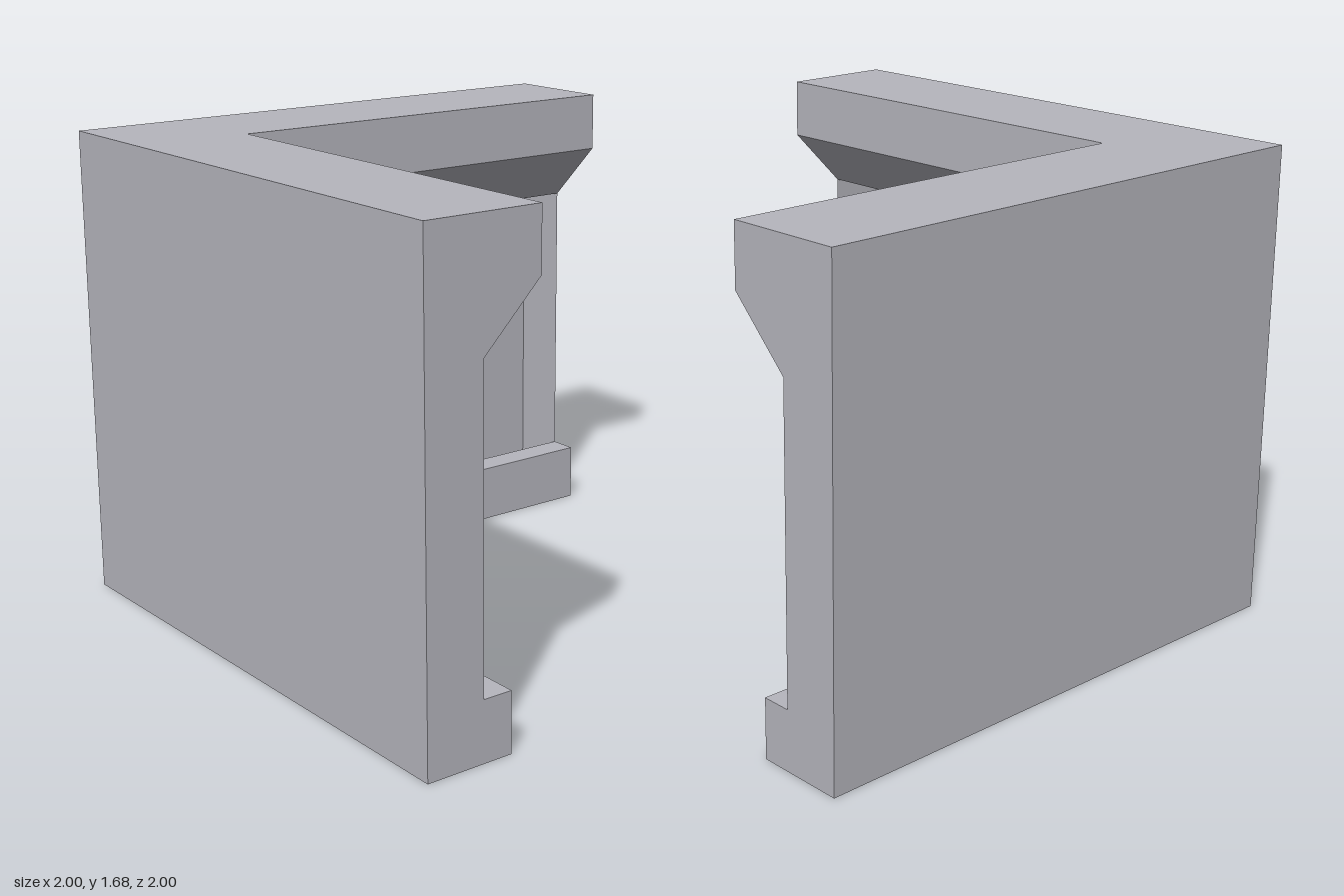
import * as THREE from 'three';

// All sizes sit on a regular grid of 1/19 unit.
const U = 1 / 19;
const H = 32 * U;       // wall height
const THICK = 4 * U;    // edge of the recess
const LEDGE = 6 * U;    // depth of the foot ledge
const CAP = 8 * U;      // depth of the top rail

const stone = new THREE.MeshStandardMaterial({ color: 0xb6b6be, side: THREE.DoubleSide });
stone.name = 'paleGreyStone';

function add(group, name, geometry) {
  const mesh = new THREE.Mesh(geometry, stone);
  mesh.name = name;
  group.add(mesh);
  return mesh;
}

function flat(points) {
  return new THREE.ShapeGeometry(new THREE.Shape(points.map(([x, y]) => new THREE.Vector2(x, y))));
}

// Sweeps a (depth, height) profile along the inside of the L, with a chamfered corner.
function innerSweep(profile) {
  const stations = [
    (t) => [1, 1 - t],
    (t) => [-1 + CAP, 1 - t],
    (t) => [-1 + t, 1 - CAP],
    (t) => [-1 + t, -1],
  ];
  const at = (s, [t, y]) => {
    const [x, z] = stations[s](t);
    return [x, y, z];
  };
  const pos = [];
  for (let s = 0; s < stations.length - 1; s++) {
    for (let p = 0; p < profile.length - 1; p++) {
      // at the corner the rail closes to a point, leaving a single triangle
      const closed = (q) => s === 1 && q[0] === CAP;
      const a = at(s, profile[p]), b = at(s, profile[p + 1]);
      const c = at(s + 1, profile[p + 1]), d = at(s + 1, profile[p]);
      if (!closed(profile[p + 1])) pos.push(...a, ...b, ...c);
      if (!closed(profile[p])) pos.push(...a, ...c, ...d);
    }
  }
  const g = new THREE.BufferGeometry();
  g.setAttribute('position', new THREE.Float32BufferAttribute(pos, 3));
  g.computeVertexNormals();
  return g;
}

export function createModel() {
  const model = new THREE.Group();
  model.name = 'cornerWall';

  // Outer wall panels
  add(model, 'frontPanel', new THREE.PlaneGeometry(2, H).translate(0, H / 2, 1));
  add(model, 'sidePanel', new THREE.PlaneGeometry(2, H).rotateY(-Math.PI / 2).translate(-1, H / 2, 0));

  // Inner faces: top rail with sloped underside, and foot ledge; the recess between is open
  const rail = [[CAP, H], [CAP, 28 * U], [THICK, 24 * U]];
  const ledge = [[THICK, THICK], [LEDGE, THICK], [LEDGE, 0]];
  add(model, 'topRail', innerSweep(rail));
  add(model, 'footLedge', innerSweep(ledge));

  // Flat end caps with the full wall profile
  const section = [[0, 0], [0, H], ...rail, ...ledge];
  add(model, 'frontWallEnd', flat(section).rotateY(Math.PI / 2).translate(1, 0, 1));
  add(model, 'sideWallEnd', flat(section.map(([t, y]) => [-t, y])).rotateY(Math.PI).translate(-1, 0, -1));

  // L-shaped top and underside, as (x, z) outlines
  const outer = [[-1, -1], [-1, 1], [1, 1]];
  const topOutline = [...outer, [1, 1 - CAP], [-1 + CAP, 1 - CAP], [-1 + CAP, -1]];
  const baseOutline = [...outer, [1, 1 - LEDGE], [-1 + CAP, 1 - LEDGE],
    [-1 + LEDGE, 1 - CAP], [-1 + LEDGE, -1]];
  add(model, 'topSurface', flat(topOutline.map(([x, z]) => [x, -z])).rotateX(-Math.PI / 2).translate(0, H, 0));
  add(model, 'underside', flat(baseOutline).rotateX(Math.PI / 2));

  return model;
}
